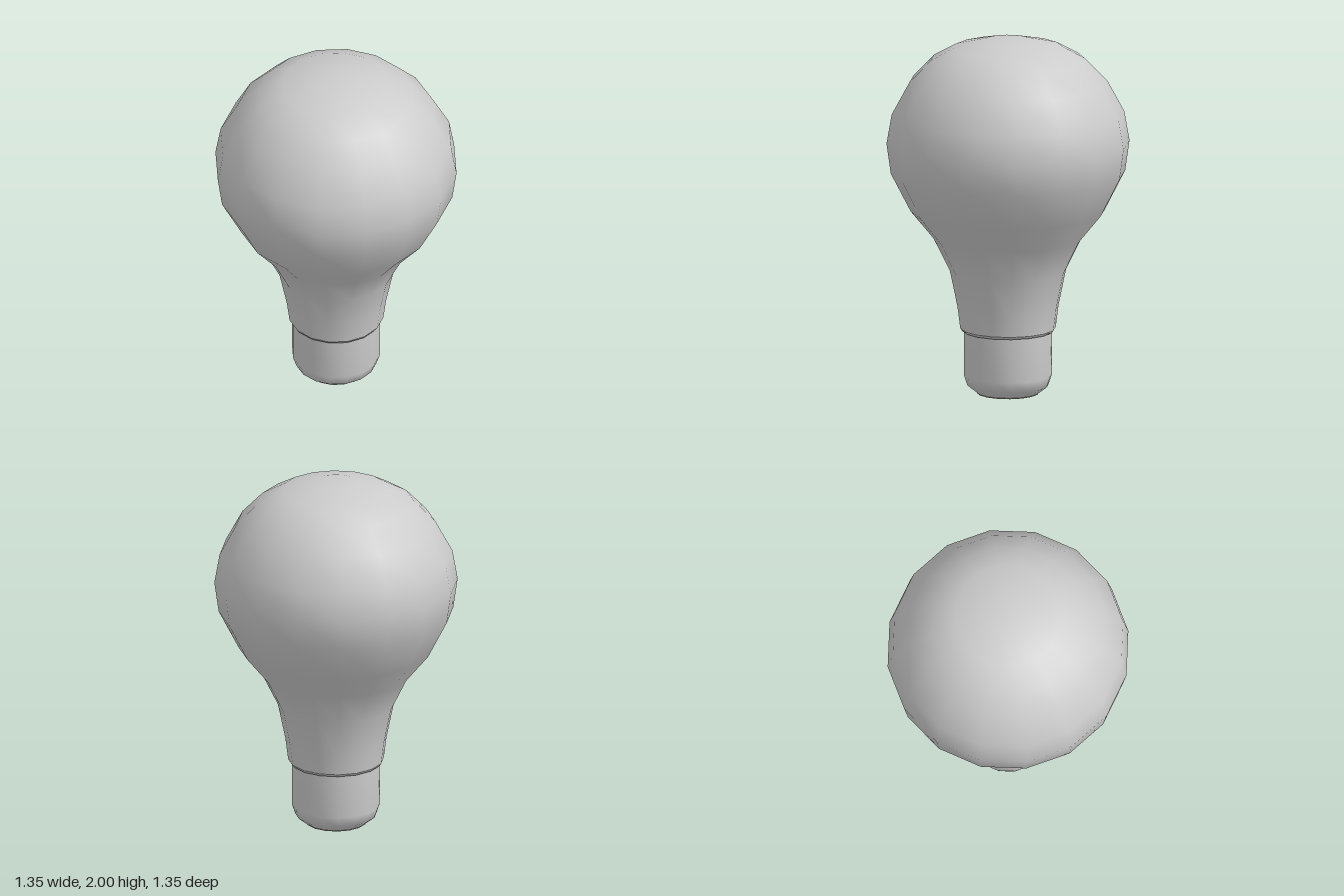
import * as THREE from 'three';

const SIDES = 16;
const material = new THREE.MeshStandardMaterial({ color: 0xcccccc });

// Smooth solid of revolution from [radius, height] pairs, listed bottom to top
function turned(name, profile) {
  const points = profile.map(([r, y]) => new THREE.Vector2(r, y));
  const mesh = new THREE.Mesh(new THREE.LatheGeometry(points, SIDES), material);
  mesh.name = name;
  return mesh;
}

export function createModel() {
  const model = new THREE.Group();
  model.name = 'lightBulb';

  // Glass: narrow neck flaring into a round globe
  model.add(turned('glassBulb', [
    [0.265, 0.37], [0.28, 0.49], [0.322, 0.695], [0.413, 0.88],
    [0.54, 1.035], [0.65, 1.25], [0.674, 1.42], [0.645, 1.585],
    [0.55, 1.76], [0.43, 1.885], [0.3, 1.957], [0.122, 2], [0, 2],
  ]));

  // Sharp underside lip where the neck steps in to the base
  model.add(turned('neckLip', [[0.24, 0.355], [0.256, 0.355], [0.265, 0.37]]));

  // Plain socket base with a rounded lower edge
  model.add(turned('socketBase', [
    [0.175, 0.006], [0.225, 0.045], [0.245, 0.105], [0.245, 0.36],
  ]));

  // Flat bottom contact
  model.add(turned('bottomContact', [[0, 0], [0.172, 0], [0.175, 0.006]]));

  return model;
}
